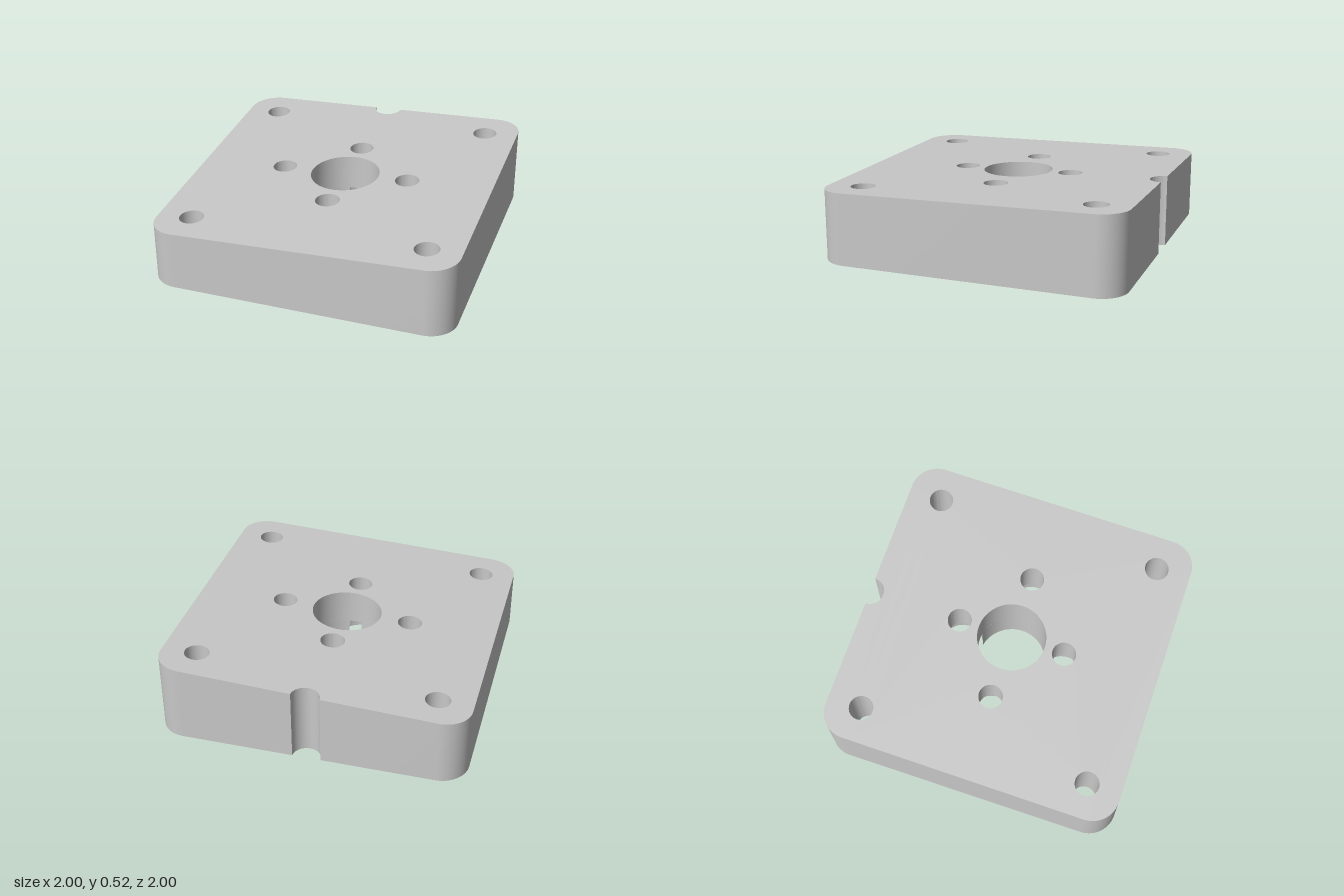
import * as THREE from 'three';
import { mergeGeometries, toCreasedNormals } from 'three/addons/utils/BufferGeometryUtils.js';

const PI = Math.PI, Q = PI / 2;
const R = 0.23, HOLE = 0.08, BORE = 0.145; // centre hole, screw holes, counterbores
const DX = 0.43, DZ = 0.365, LEDGE = 0.22; // screw offsets and counterbore depth
const topY = (x, z) => 0.455 + 0.0435 * x - 0.0252 * z; // sloping top plane

// Arc in plan (x, z), last point left out so arcs can be chained
function arc(cx, cz, r, a0 = 0, a1 = 2 * PI, n = 48) {
  return Array.from({ length: n }, (_, i) => {
    const a = a0 + (a1 - a0) * i / n;
    return new THREE.Vector2(cx + r * Math.cos(a), cz + r * Math.sin(a));
  });
}

// Vertical wall along a closed counter-clockwise outline; inward for holes
function wall(points, y0, y1, inward = false) {
  const pts = inward ? [...points].reverse() : points;
  const level = (y, p) => (typeof y === 'function' ? y(p.x, p.y) : y);
  const pos = [];
  pts.forEach((a, i) => {
    const b = pts[(i + 1) % pts.length];
    const a0 = [a.x, level(y0, a), a.y], a1 = [a.x, level(y1, a), a.y];
    const b0 = [b.x, level(y0, b), b.y], b1 = [b.x, level(y1, b), b.y];
    pos.push(...a0, ...a1, ...b0, ...b0, ...a1, ...b1);
  });
  const g = new THREE.BufferGeometry();
  g.setAttribute('position', new THREE.Float32BufferAttribute(pos, 3));
  return toCreasedNormals(g, 0.6);
}

// Flat face with holes at a level or on a plane, facing down unless up is set
function face(outline, holes, y, up = false) {
  const shape = new THREE.Shape(outline);
  shape.holes = holes.map(h => new THREE.Path(h));
  let g = new THREE.ShapeGeometry(shape);
  g.deleteAttribute('uv');
  const p = g.attributes.position;
  for (let i = 0; i < p.count; i++) {
    const x = p.getX(i), z = p.getY(i);
    p.setXYZ(i, x, typeof y === 'function' ? y(x, z) : y, z);
  }
  if (up) g.setIndex([...g.index.array].reverse());
  g = g.toNonIndexed();
  g.computeVertexNormals();
  return g;
}

export function createModel() {
  const group = new THREE.Group();
  group.name = 'mountingPlate';
  const grey = new THREE.MeshStandardMaterial({ color: 0xc8c8c8 });
  grey.name = 'grey';
  const add = (name, ...geos) => {
    const mesh = new THREE.Mesh(mergeGeometries(geos), grey);
    mesh.name = name;
    group.add(mesh);
  };

  // Rounded square outline with a half-round notch in the back edge
  const c = 0.82, rc = 0.18;
  const outline = [
    ...arc(0, -1, 0.092, PI, 0, 24), new THREE.Vector2(0.092, -1),
    ...arc(c, -c, rc, -Q, 0, 16), new THREE.Vector2(1, -c),
    ...arc(c, c, rc, 0, Q, 16), new THREE.Vector2(c, 1),
    ...arc(-c, c, rc, Q, PI, 16), new THREE.Vector2(-1, c),
    ...arc(-c, -c, rc, PI, 3 * Q, 16), new THREE.Vector2(-c, -1),
  ];

  // Hole outlines
  const corners = [-1, 1].flatMap(sx => [-1, 1].map(sz => arc(sx * 0.775, sz * 0.772, HOLE)));
  const screwSpots = [[DX, 0], [-DX, 0], [0, DZ], [0, -DZ]];
  const screws = screwSpots.map(([x, z]) => arc(x, z, HOLE));
  const sideBores = [arc(DX, 0, BORE), arc(-DX, 0, BORE)];
  const centre = arc(0, 0, R, 0, 2 * PI, 64);

  // The front and back counterbores break into the centre hole
  const chord = (DZ * DZ + R * R - BORE * BORE) / (2 * DZ);
  const t = Math.acos(chord / R), u = Math.acos((DZ - chord) / BORE);
  const frontBore = arc(0, DZ, BORE, -Q + u, 3 * Q - u);
  const backBore = arc(0, -DZ, BORE, Q + u, 5 * Q - u);
  const joined = [
    ...arc(0, 0, R, -Q + t, Q - t, 32), ...frontBore,
    ...arc(0, 0, R, Q + t, 3 * Q - t, 32), ...backBore,
  ];

  add('topFace', face(outline, [centre, ...screws, ...corners], topY, true));
  add('bottomFace', face(outline, [joined, ...sideBores, ...corners], 0));
  add('outerWall', wall(outline, 0, topY));
  add('cornerHoles', ...corners.map(h => wall(h, 0, topY, true)));
  add('screwHoles', ...screws.map(h => wall(h, LEDGE, topY, true)));
  add('centreHole', wall(centre, LEDGE, topY, true));
  add('counterbores', wall(joined, 0, LEDGE, true), ...sideBores.map(h => wall(h, 0, LEDGE, true)));

  // Counterbore seats around the screw holes
  const seats = [
    ...sideBores,
    [...frontBore, ...arc(0, 0, R, Q + t, Q - t, 8)],
    [...backBore, ...arc(0, 0, R, 3 * Q + t, 3 * Q - t, 8)],
  ];
  add('counterboreSeats', ...seats.map((s, i) => face(s, [screws[i]], LEDGE)));
  return group;
}
